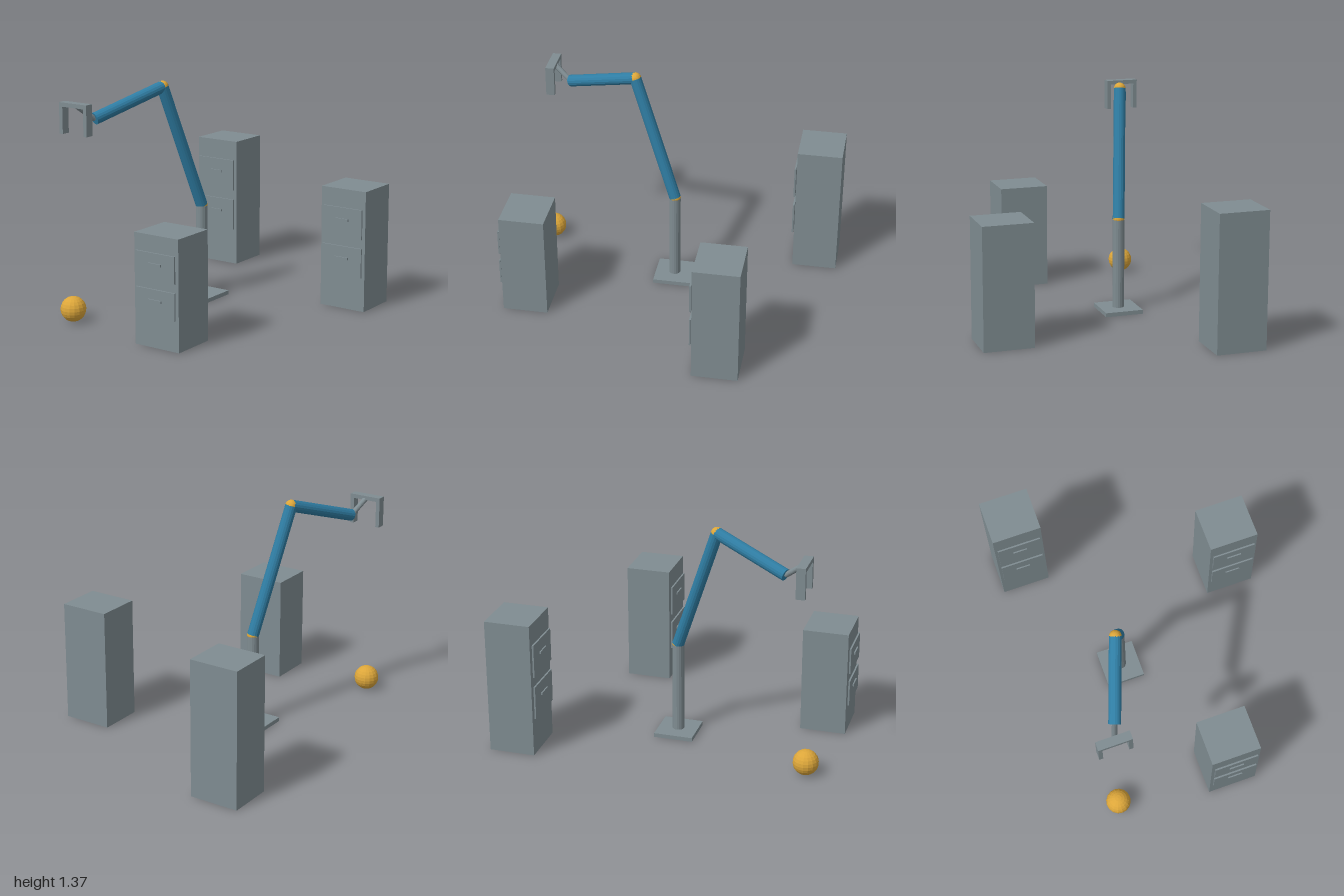
import * as THREE from 'three';

const steel = new THREE.MeshStandardMaterial({ color: 0x7f8c91 });
steel.name = 'steel grey';
const blue = new THREE.MeshStandardMaterial({ color: 0x2f7da3 });
blue.name = 'arm blue';
const amber = new THREE.MeshStandardMaterial({ color: 0xdca63a });
amber.name = 'amber';

// Un-shared normals give faceted round parts
function faceted(geometry) {
  const g = geometry.toNonIndexed();
  g.computeVertexNormals();
  return g;
}

function addMesh(parent, name, geometry, material, x, y, z) {
  const mesh = new THREE.Mesh(geometry, material);
  mesh.name = name;
  mesh.position.set(x, y, z);
  parent.add(mesh);
  return mesh;
}

function addBox(parent, name, w, h, d, x, y, z) {
  return addMesh(parent, name, new THREE.BoxGeometry(w, h, d), steel, x, y, z);
}

function addBall(parent, name, r, p) {
  return addMesh(parent, name, faceted(new THREE.SphereGeometry(r, 16, 12)), amber, p.x, p.y, p.z);
}

// Cylinder running from point a to point b
function addRod(parent, name, r, a, b, material) {
  const dir = b.clone().sub(a);
  const mid = a.clone().add(b).multiplyScalar(0.5);
  const g = faceted(new THREE.CylinderGeometry(r, r, dir.length(), 16));
  const rod = addMesh(parent, name, g, material, mid.x, mid.y, mid.z);
  rod.quaternion.setFromUnitVectors(new THREE.Vector3(0, 1, 0), dir.normalize());
  return rod;
}

// Cabinet with two drawers; the origin is the floor centre of its body
function makeCabinet(height, x, z) {
  const cabinet = new THREE.Group();
  cabinet.name = 'cabinet';
  cabinet.position.set(x, 0, z);
  addBox(cabinet, 'cabinetBody', 0.304, height, 0.276, 0, height / 2, 0);
  for (const level of [0.406, 0.727]) {
    addBox(cabinet, 'drawerFront', 0.27, height * 0.246, 0.01, 0, height * level, 0.149);
    addBox(cabinet, 'drawerHandle', 0.09, 0.014, 0.009, 0, height * (level + 0.024), 0.1575);
  }
  return cabinet;
}

function makeArm() {
  const arm = new THREE.Group();
  arm.name = 'robotArm';
  const floor = new THREE.Vector3(-0.228, 0.02, 0);
  const shoulder = new THREE.Vector3(-0.228, 0.58, 0);
  const elbow = new THREE.Vector3(-0.322, 1.337, 0.26);
  const wrist = new THREE.Vector3(-0.483, 1.193, 0.7);
  const palm = new THREE.Vector3(-0.525, 1.285, 0.817);

  // Stand
  addBox(arm, 'basePlate', 0.237, 0.025, 0.237, floor.x, 0.0125, floor.z);
  addRod(arm, 'post', 0.036, floor, new THREE.Vector3(-0.228, 0.576, 0), steel);

  // Jointed arm
  addBall(arm, 'shoulderJoint', 0.036, shoulder);
  addRod(arm, 'upperArm', 0.036, shoulder, elbow, blue);
  addBall(arm, 'elbowJoint', 0.036, elbow);
  addRod(arm, 'forearm', 0.036, elbow, wrist, blue);

  // Gripper
  addRod(arm, 'wristRod', 0.016, wrist, palm, steel);
  addBox(arm, 'gripperPalm', 0.202, 0.025, 0.053, palm.x, palm.y, palm.z);
  for (const side of [-1, 1]) {
    addBox(arm, 'gripperFinger', 0.024, 0.16, 0.053, palm.x + side * 0.089, 1.193, palm.z);
  }
  return arm;
}

export function createModel() {
  const model = new THREE.Group();
  model.name = 'robotArmWithCabinets';
  model.add(makeArm());

  // Height, x, z of each cabinet
  for (const [h, x, z] of [[0.824, -0.622, -0.862], [0.738, 0.619, -0.409], [0.651, 0.168, 0.838]]) {
    model.add(makeCabinet(h, x, z));
  }
  addBall(model, 'ball', 0.076, new THREE.Vector3(-0.54, 0.077, 0.858));
  return model;
}
